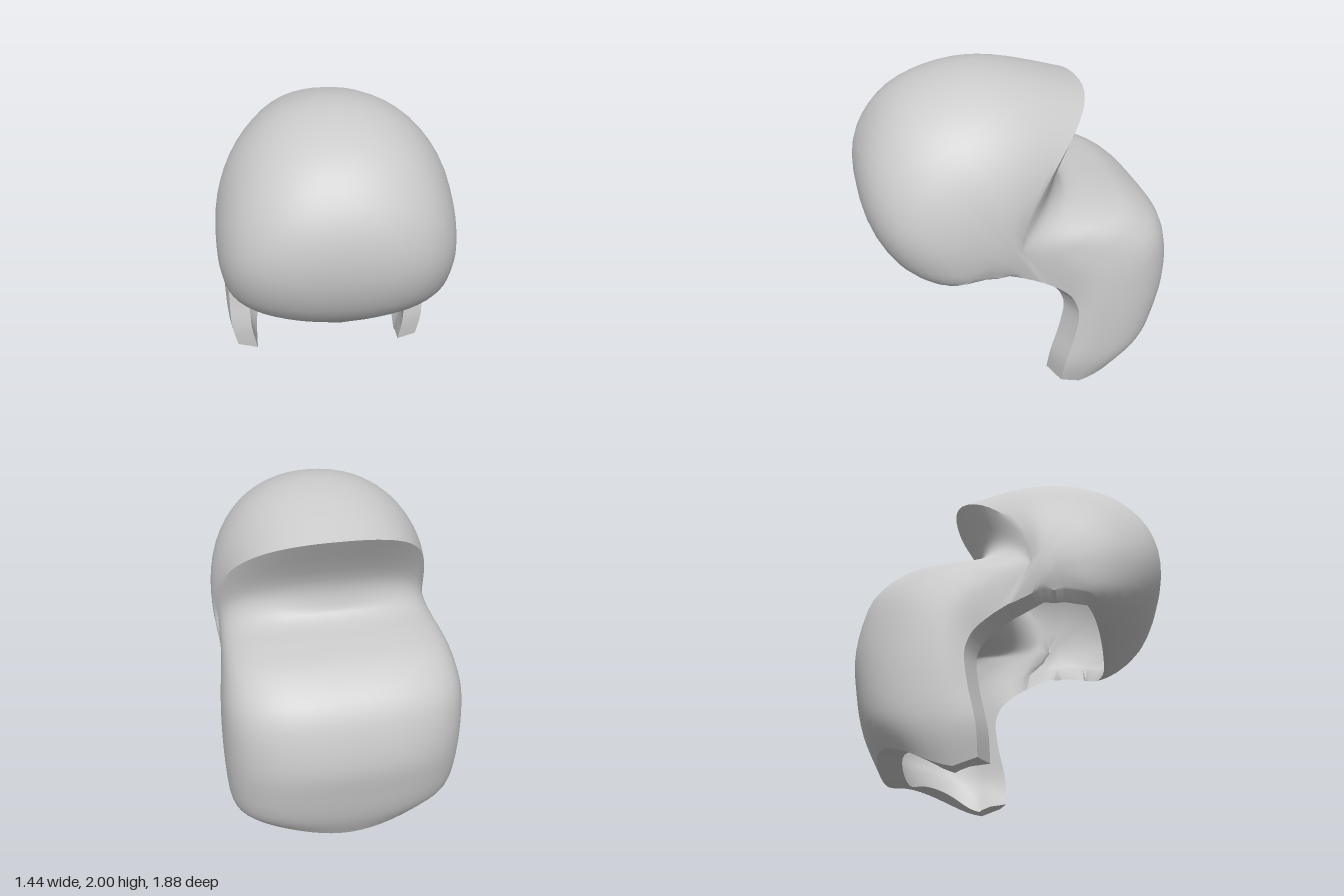
import * as THREE from 'three';
import { toCreasedNormals } from 'three/addons/utils/BufferGeometryUtils.js';

// Each rib runs from the side rim, up to the shoulder, then arcs to the centre line:
// rim y, z, x | shoulder y, z, x | centre y, z | arc squareness | z falloff | corner lift
const tip = [0.91, 0.02, 0.66, 1.17, 0.14, 0.67, 1.86, -0.4, 2.4, 1.85, 0];
const domeRibs = [
  [0.988, 0.26, 0.65, 0.995, 0.32, 0.645, 0.78, 0.6, 1.45, 0.3, 0],
  [0.995, 0.2, 0.655, 1.07, 0.3, 0.67, 1.0, 0.83, 2.5, 0.9, 0],
  [0.985, 0.17, 0.655, 1.14, 0.28, 0.685, 1.3, 0.935, 2.8, 1, 0],
  [0.97, 0.14, 0.655, 1.2, 0.26, 0.69, 1.61, 0.9, 2.5, 1, 0],
  [0.955, 0.11, 0.655, 1.23, 0.24, 0.69, 1.87, 0.7, 2.25, 1, 0],
  [0.94, 0.08, 0.655, 1.25, 0.22, 0.69, 1.99, 0.38, 2.2, 1.05, 0],
  [0.925, 0.05, 0.655, 1.22, 0.18, 0.685, 1.985, 0.04, 2.25, 1.35, 0],
  tip,
];
const capeRibs = [
  tip,
  [0.9, 0.0, 0.66, 1.17, 0.137, 0.666, 1.56, -0.235, 2.1, 1.4, 0],
  [0.88, -0.03, 0.66, 1.16, 0.125, 0.664, 1.39, -0.23, 2.2, 1, 0],
  [0.86, -0.06, 0.66, 1.11, 0.04, 0.668, 1.315, -0.29, 2.8, 1, 0],
  [0.83, -0.1, 0.66, 1.06, -0.1, 0.675, 1.275, -0.48, 3.4, 1, 0],
  [0.77, -0.165, 0.665, 1.0, -0.22, 0.69, 1.22, -0.67, 3.4, 1, 0],
  [0.7, -0.205, 0.675, 0.88, -0.34, 0.71, 1.06, -0.86, 3.2, 1, 0],
  [0.6, -0.225, 0.685, 0.7, -0.38, 0.72, 0.76, -0.94, 2.9, 1, 0],
  [0.42, -0.2, 0.685, 0.45, -0.38, 0.72, 0.5, -0.91, 2.9, 1, 0],
  [0.22, -0.155, 0.68, 0.2, -0.34, 0.705, 0.26, -0.855, 2.9, 1, 0.03],
  [0.05, -0.145, 0.645, 0.005, -0.27, 0.65, 0.07, -0.77, 2.9, 1, 0.085],
];

// Smoothly fills in ribs between the given ones
function fillRibs(ribs, steps) {
  const out = [];
  const at = (i) => ribs[Math.max(0, Math.min(ribs.length - 1, i))];
  for (let i = 0; i < ribs.length - 1; i++) {
    for (let s = 0; s < steps; s++) {
      const t = s / steps;
      out.push(at(i).map((b, k) => {
        const a = at(i - 1)[k], c = at(i + 1)[k], d = at(i + 2)[k];
        return b + 0.5 * t * (c - a + t * (2 * a - 5 * b + 4 * c - d + t * (3 * (b - c) + d - a)));
      }));
    }
  }
  out.push(ribs[ribs.length - 1]);
  return out;
}

// Points of one rib from the left rim over the centre to the right rim
function ribPoints([ry, rz, rx, sy, sz, sx, cy, cz, n, fall, lift]) {
  const half = [];
  const low = 4, arc = 16;
  for (let i = 0; i < low; i++) {
    const t = i / low;
    const bulge = Math.sin((t * Math.PI) / 2);
    half.push(new THREE.Vector3(rx + (sx - rx) * bulge, ry + (sy - ry) * t, rz + (sz - rz) * t));
  }
  for (let i = 0; i <= arc; i++) {
    const a = (Math.PI / 2) * (1 - i / arc);
    const s = Math.max(0, Math.sin(a)), c = i === 0 ? 0 : Math.cos(a);
    const r = Math.pow(Math.pow(s, n) + Math.pow(c, n), -1 / n);
    const f = r * c;
    half.push(new THREE.Vector3(
      i === arc ? 0 : sx * r * s,
      sy + (cy - sy) * f + lift * Math.sin(2 * a) ** 2,
      sz + (cz - sz) * Math.pow(f, fall)));
  }
  const mirrored = half.slice(0, -1).reverse().map((p) => new THREE.Vector3(-p.x, p.y, p.z));
  return half.concat(mirrored);
}

function buildShell() {
  const ribs = [...fillRibs(domeRibs, 4), ...fillRibs(capeRibs, 4).slice(1)];
  const grid = ribs.map(ribPoints);
  const rows = grid.length, cols = grid[0].length, count = rows * cols;

  // Outer skin
  const points = grid.flat();
  const index = [];
  for (let v = 0; v < rows - 1; v++) {
    for (let u = 0; u < cols - 1; u++) {
      const a = v * cols + u, b = a + 1, c = a + cols, d = c + 1;
      index.push(a, c, b, b, c, d);
    }
  }
  const skin = new THREE.BufferGeometry().setFromPoints(points);
  skin.setIndex(index);
  skin.computeVertexNormals();

  // Inner skin, thicker toward the bottom of the back
  const normal = new THREE.Vector3();
  const middle = (cols - 1) / 2;
  const inner = points.map((p, i) => {
    const v = Math.floor(i / cols);
    const u = middle - Math.abs((i % cols) - middle);
    const thick = 0.06 + 0.08 * v / (rows - 1);
    if (v === 0 || u === 0) {
      // front and side rims are bevelled, the inner edge reaching into the opening
      const from = v === 0 ? grid[0][Math.min(u + 1, middle)] : grid[v - 1][0];
      const to = v === 0 && u > 0 ? grid[0][u - 1] : grid[Math.min(v + 1, rows - 1)][0];
      const dy = to.y - from.y, dz = to.z - from.z;
      const reach = 0.05 / Math.hypot(dy, dz);
      return new THREE.Vector3(p.x * (1 - thick / 0.65), p.y + dz * reach, p.z - dy * reach);
    }
    normal.fromBufferAttribute(skin.attributes.normal, i);
    // the bottom rim is cut level
    if (v === rows - 1) normal.setY(0).normalize();
    return p.clone().addScaledVector(normal, -thick);
  });
  const all = index.slice();
  for (let i = 0; i < index.length; i += 3) {
    all.push(index[i] + count, index[i + 2] + count, index[i + 1] + count);
  }

  // Rim joining both skins all the way round
  const loop = [];
  for (let u = 0; u < cols - 1; u++) loop.push(u);
  for (let v = 0; v < rows - 1; v++) loop.push(v * cols + cols - 1);
  for (let u = cols - 1; u > 0; u--) loop.push((rows - 1) * cols + u);
  for (let v = rows - 1; v > 0; v--) loop.push(v * cols);
  loop.forEach((a, i) => {
    const b = loop[(i + 1) % loop.length];
    all.push(a, b, a + count, b, b + count, a + count);
  });

  const shell = new THREE.BufferGeometry().setFromPoints(points.concat(inner));
  shell.setIndex(all);
  return toCreasedNormals(shell, 0.65);
}

export function createModel() {
  const model = new THREE.Group();
  model.name = 'hood';
  const material = new THREE.MeshStandardMaterial({ color: 0xcccccc, side: THREE.DoubleSide });
  const shell = new THREE.Mesh(buildShell(), material);
  shell.name = 'hoodShell';
  model.add(shell);
  return model;
}
